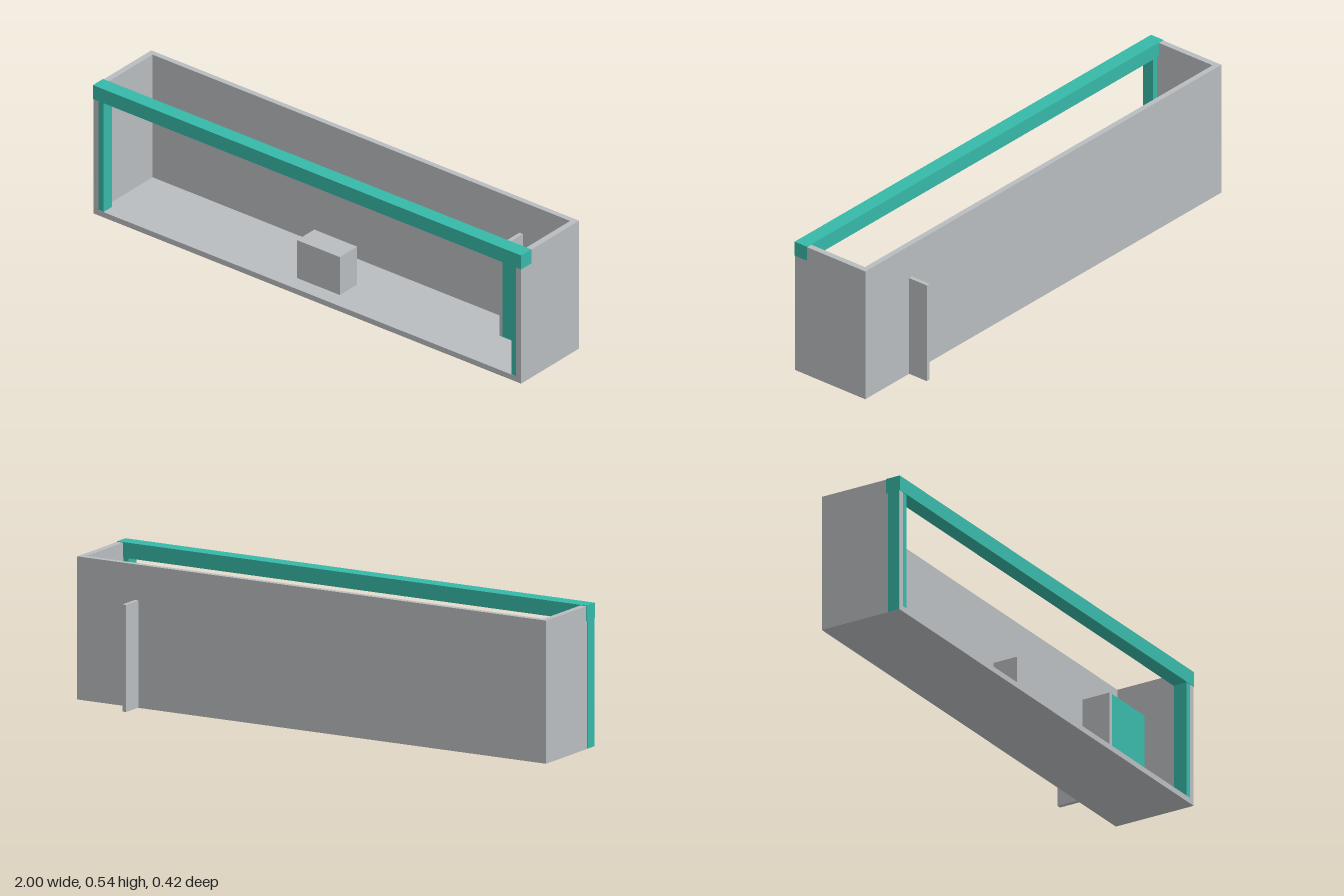
import * as THREE from 'three';

export function createModel() {
  const model = new THREE.Group();
  const grey = new THREE.MeshStandardMaterial({ color: 0xb9bdbf });
  grey.name = 'light grey';
  const teal = new THREE.MeshStandardMaterial({ color: 0x36b8a8 });
  teal.name = 'teal';

  // Box spanning the given minimum and maximum on each axis
  const box = (name, material, [x0, x1], [y0, y1], [z0, z1]) => {
    const mesh = new THREE.Mesh(new THREE.BoxGeometry(x1 - x0, y1 - y0, z1 - z0), material);
    mesh.position.set((x0 + x1) / 2, (y0 + y1) / 2, (z0 + z1) / 2);
    mesh.name = name;
    model.add(mesh);
  };

  // Open-topped, open-fronted shell
  box('floor', grey, [-0.999, 0.999], [0, 0.022], [-0.125, 0.209]);
  box('backWall', grey, [-0.999, 0.999], [0.022, 0.533], [-0.125, -0.103]);
  box('leftWall', grey, [0.975, 0.999], [0.022, 0.533], [-0.103, 0.209]);
  box('rightWall', grey, [-0.999, -0.975], [0.022, 0.533], [-0.103, 0.209]);

  // Front frame: beam and two posts
  box('frontBeam', teal, [-1, 1], [0.477, 0.535], [0.152, 0.2105]);
  box('leftPost', teal, [0.952, 0.98], [0.02, 0.48], [0.155, 0.208]);
  box('rightPost', teal, [-1, -0.952], [0.001, 0.48], [0.16, 0.208]);

  // Partition passing through the back wall, with its panel
  box('partition', grey, [0.738, 0.754], [0.001, 0.4], [-0.21, 0.013]);
  box('partitionPanel', teal, [0.754, 0.977], [0.02, 0.4], [-0.002, 0.013]);

  // Counter block on the floor
  box('counter', grey, [-0.1, 0.1], [0.02, 0.18], [0.045, 0.145]);

  return model;
}
